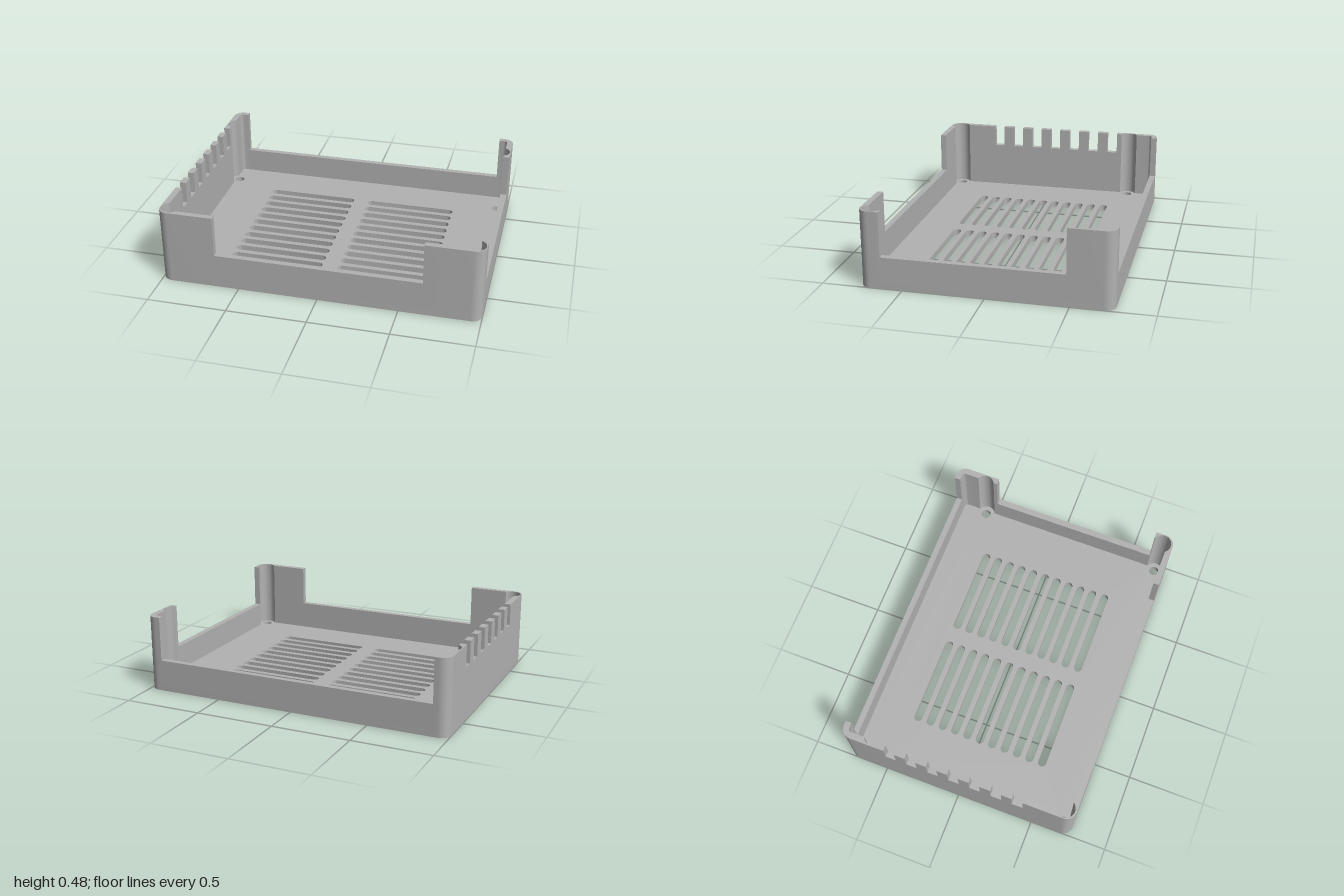
import * as THREE from 'three';
import { toCreasedNormals } from 'three/addons/utils/BufferGeometryUtils.js';

const W = 1, D = 0.762, T = 0.04, TZ = 0.037; // half width, half depth, wall thicknesses
const FLOOR = 0.04, H = 0.48, R = 0.065;      // floor thickness, full height, corner radius
const SCREW_X = 0.935, SCREW_FRONT = 0.69, SCREW_BACK = -0.56;
const SIDE_FRONT = 0.63, SIDE_BACK = -0.48;   // ends of the side openings

// Points along an arc, angles in degrees
function arc(cx, cy, r, from, to, n = 16) {
  return Array.from({ length: n + 1 }, (_, i) => {
    const a = THREE.MathUtils.degToRad(from + (to - from) * i / n);
    return new THREE.Vector2(cx + r * Math.cos(a), cy + r * Math.sin(a));
  });
}
const p = (x, y) => new THREE.Vector2(x, y);

// Extrude a plan outline (x, z) upward from y0 to y1
function extrudePlan(points, y0, y1, holes = []) {
  const shape = new THREE.Shape(points);
  shape.holes = holes.map(h => new THREE.Path(h));
  const g = new THREE.ExtrudeGeometry(shape, { depth: y1 - y0, bevelEnabled: false });
  g.rotateX(Math.PI / 2).translate(0, y1, 0);
  return toCreasedNormals(g, 0.6);
}

export function createModel() {
  const group = new THREE.Group();
  const grey = new THREE.MeshStandardMaterial({ color: 0xb2b2b2 });
  grey.name = 'grey plastic';

  const add = (name, geometry) => {
    const mesh = new THREE.Mesh(geometry, grey);
    mesh.name = name;
    group.add(mesh);
  };
  const addBox = (name, x0, x1, y0, y1, z0, z1) => {
    const g = new THREE.BoxGeometry(x1 - x0, y1 - y0, z1 - z0);
    add(name, g.translate((x0 + x1) / 2, (y0 + y1) / 2, (z0 + z1) / 2));
  };

  // Floor with two columns of vent slots and four screw holes
  const holes = [];
  const slotR = 0.027;
  for (let i = 0; i < 11; i++) {
    const z = -0.435 + i * 0.087;
    for (const cx of [-0.348, 0.348]) {
      const half = 0.298 - slotR;
      holes.push([
        ...arc(cx + half, z, slotR, -90, 90, 12),
        ...arc(cx - half, z, slotR, 90, 270, 12),
      ]);
    }
  }
  for (const x of [-SCREW_X, SCREW_X])
    for (const z of [SCREW_FRONT, SCREW_BACK]) holes.push(arc(x, z, 0.032, 0, 345, 23));
  add('floor', extrudePlan([
    ...arc(W - R, D - R, R, 0, 90),
    ...arc(-W + R, D - R, R, 90, 180),
    ...arc(-W + R, -D + R, R, 180, 270),
    ...arc(W - R, -D + R, R, 270, 360),
  ], 0, FLOOR, holes));

  // Corner columns, each with a round screw channel cut in its inner face
  const frontColumn = [
    p(0.645, D),
    ...arc(W - R, D - R, R, 90, 0),
    p(W, SIDE_FRONT), p(W - T, SIDE_FRONT),
    ...arc(SCREW_X, SCREW_FRONT, 0.06, -65.4, 144.3, 28),
    p(0.645, D - TZ),
  ];
  const backColumn = [
    p(0.905, -D),
    ...arc(W - R, -D + R, R, -90, 0),
    p(W, SIDE_BACK), p(W - T, SIDE_BACK),
    ...arc(SCREW_X, SCREW_BACK, 0.06, 65.4, -65.4, 20),
    ...arc(W - T - 0.02, -D + TZ + 0.02, 0.02, 0, -90, 6),
    p(0.905, -D + TZ),
  ];
  for (const [s, side] of [[1, 'Left'], [-1, 'Right']]) {
    const mirror = pts => pts.map(v => p(v.x * s, v.y));
    add('frontColumn' + side, extrudePlan(mirror(frontColumn), FLOOR, H));
    add('backColumn' + side, extrudePlan(mirror(backColumn), FLOOR, H));
  }

  // Low walls under the three openings
  addBox('frontWall', -0.645, 0.645, FLOOR, 0.22, D - TZ, D);
  addBox('backWall', -0.905, 0.905, FLOOR, 0.2, -D, -D + TZ);
  addBox('leftWall', W - T, W, FLOOR, 0.2, SIDE_BACK, SIDE_FRONT);

  // Right wall with seven notches along its top, drawn in (-z, y)
  const comb = [p(-SIDE_FRONT, FLOOR), p(-SIDE_FRONT, H)];
  for (let i = 0; i < 7; i++) {
    const a = -0.438 + i * 0.14, b = a + 0.07;
    comb.push(p(a, H), p(a, 0.34), p(b, 0.34), p(b, H));
  }
  comb.push(p(-SIDE_BACK, H), p(-SIDE_BACK, FLOOR));
  const combGeometry = new THREE.ExtrudeGeometry(new THREE.Shape(comb), { depth: T, bevelEnabled: false });
  add('notchedRightWall', combGeometry.rotateY(Math.PI / 2).translate(-W, 0, 0));

  return group;
}
